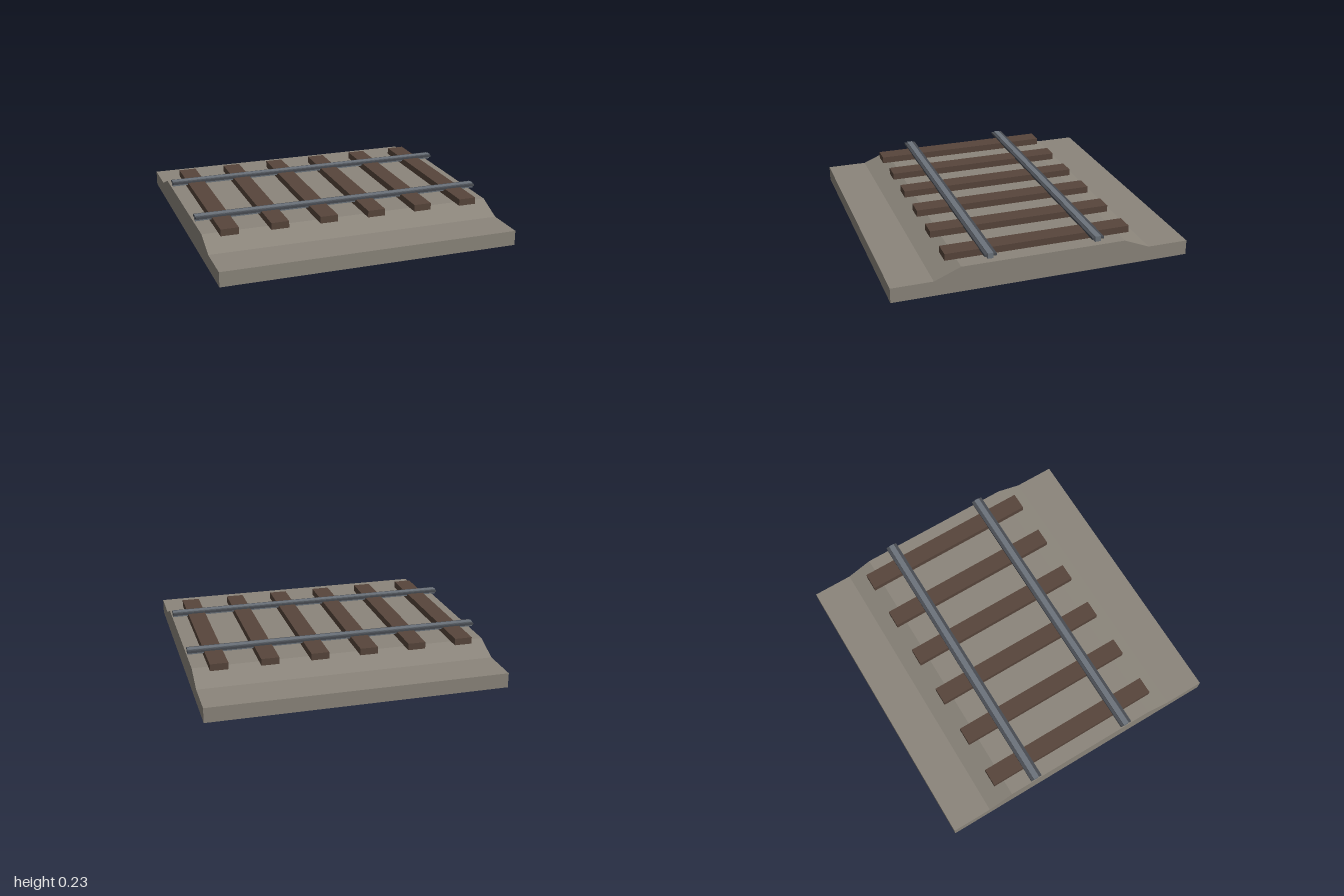
import * as THREE from 'three';

const material = (name, color) => {
  const m = new THREE.MeshStandardMaterial({ color });
  m.name = name;
  return m;
};

export function createModel() {
  const group = new THREE.Group();
  group.name = 'railwayTrack';
  const gravel = material('gravel', 0x8b857b);
  const wood = material('brown wood', 0x57453b);
  const steel = material('steel', 0x6c737b);
  const darkSteel = material('dark steel', 0x484c52);

  const box = (parent, name, mat, size, pos) => {
    const mesh = new THREE.Mesh(new THREE.BoxGeometry(...size), mat);
    mesh.name = name;
    mesh.position.set(...pos);
    parent.add(mesh);
  };

  // Ballast bed: raised trapezoid profile with flat shoulders, extruded along x
  const half = [[1, 0], [1, 0.1], [0.725, 0.1], [0.55, 0.172]];
  const mirrored = half.map(([z, y]) => [-z, y]).reverse();
  const profile = new THREE.Shape([...half, ...mirrored].map(([z, y]) => new THREE.Vector2(z, y)));
  const bedGeometry = new THREE.ExtrudeGeometry(profile, { depth: 2, bevelEnabled: false });
  bedGeometry.translate(0, 0, -1).rotateY(Math.PI / 2);
  const bed = new THREE.Mesh(bedGeometry, gravel);
  bed.name = 'ballastBed';
  group.add(bed);

  // Six evenly spaced sleepers
  for (let i = 0; i < 6; i++) {
    box(group, 'sleeper', wood, [0.12, 0.046, 1.25], [(i - 2.5) / 3, 0.195, 0]);
  }

  // Two rails, each a light core with dark side flanges
  for (const side of [1, -1]) {
    const rail = new THREE.Group();
    rail.name = side > 0 ? 'frontRail' : 'backRail';
    rail.position.z = side * 0.36;
    box(rail, 'railCore', steel, [2, 0.036, 0.038], [0, 0.215, 0]);
    for (const s of [1, -1]) {
      box(rail, 'railFlange', darkSteel, [2, 0.015, 0.021], [0, 0.2205, s * 0.0295]);
    }
    group.add(rail);
  }
  return group;
}
